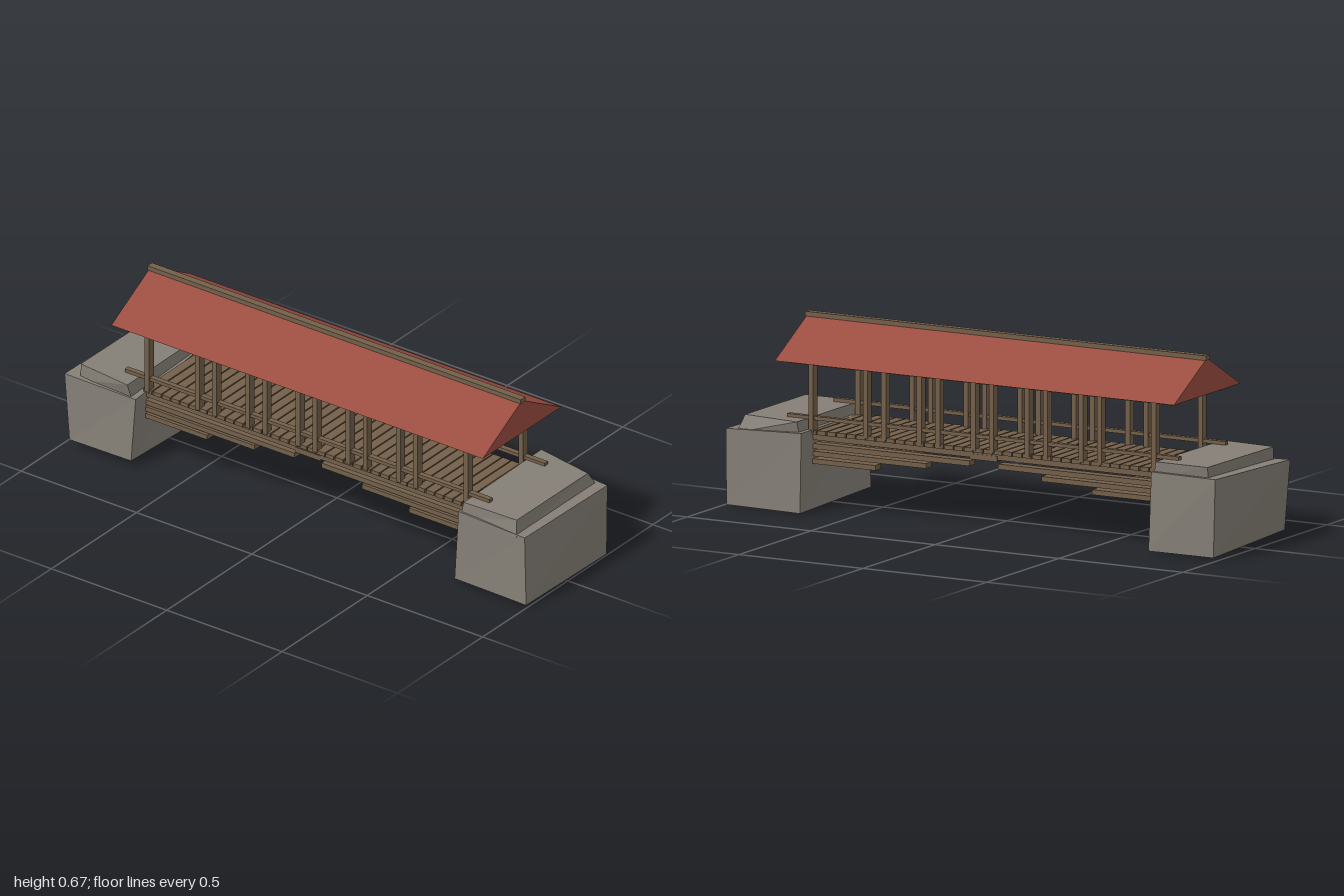
import * as THREE from 'three';

const material = (name, color) => {
  const m = new THREE.MeshStandardMaterial({ color });
  m.name = name;
  return m;
};

export function createModel() {
  const stone = material('grey stone', 0x857f76);
  const wood = material('brown timber', 0x735f4a);
  const red = material('red roof', 0x9b4c40);

  const model = new THREE.Group();
  model.name = 'coveredBridge';
  const bridge = new THREE.Group();
  bridge.name = 'timberSpan';
  bridge.position.z = 0.004;
  model.add(bridge);

  // Timber given by its x range, y range, centre z and depth
  const timber = (name, x0, x1, y0, y1, z, depth) => {
    const mesh = new THREE.Mesh(new THREE.BoxGeometry(x1 - x0, y1 - y0, depth), wood);
    mesh.position.set((x0 + x1) / 2, (y0 + y1) / 2, z);
    mesh.name = name;
    bridge.add(mesh);
  };

  // Rough stone block: a box whose corners are moved one by one.
  // Corner order: bottom then top; each back-left, back-right, front-left, front-right in x
  const block = (name, corners) => {
    const g = new THREE.BoxGeometry(1, 1, 1);
    const p = g.attributes.position;
    for (let i = 0; i < p.count; i++) {
      const k = (p.getY(i) > 0 ? 4 : 0) + (p.getZ(i) > 0 ? 2 : 0) + (p.getX(i) > 0 ? 1 : 0);
      p.setXYZ(i, ...corners[k]);
    }
    const flat = g.toNonIndexed();
    flat.computeVertexNormals();
    const mesh = new THREE.Mesh(flat, stone);
    mesh.name = name;
    model.add(mesh);
  };

  // Abutments and their caps
  block('rightAbutment', [
    [-0.975, 0.005, -0.245], [-0.71, 0.003, -0.24], [-0.975, 0.022, 0.25], [-0.708, 0.025, 0.25],
    [-0.985, 0.285, -0.25], [-0.72, 0.285, -0.237], [-1.0, 0.275, 0.245], [-0.697, 0.268, 0.238],
  ]);
  block('rightAbutmentCap', [
    [-0.945, 0.26, -0.225], [-0.72, 0.26, -0.22], [-0.945, 0.26, 0.225], [-0.72, 0.26, 0.23],
    [-0.945, 0.322, -0.235], [-0.73, 0.32, -0.225], [-0.948, 0.32, 0.22], [-0.73, 0.318, 0.243],
  ]);
  block('leftAbutment', [
    [0.69, 0.0, -0.25], [0.995, 0.0, -0.235], [0.687, 0.013, 0.24], [0.995, 0.007, 0.238],
    [0.685, 0.285, -0.25], [0.995, 0.272, -0.24], [0.7, 0.283, 0.235], [0.983, 0.268, 0.23],
  ]);
  block('leftAbutmentCap', [
    [0.705, 0.26, -0.225], [0.955, 0.26, -0.235], [0.705, 0.26, 0.23], [0.95, 0.26, 0.232],
    [0.71, 0.322, -0.238], [0.94, 0.32, -0.2], [0.715, 0.32, 0.225], [0.94, 0.32, 0.218],
  ]);

  // Deck planks
  const planks = 36;
  const pitch = 1.42 / planks;
  for (let i = 0; i < planks; i++) {
    const x = -0.71 + pitch * (i + 0.5);
    timber('deckPlank', x - pitch * 0.44, x + pitch * 0.44, 0.268, 0.283, 0, 0.345);
  }

  // Post positions: single end posts and five pairs
  const postX = [-0.691, 0.691];
  for (let i = -2; i <= 2; i++) postX.push(i * 0.2175 - 0.037, i * 0.2175 + 0.037);

  for (const side of [-1, 1]) {
    const z = side * 0.162;

    // Main girder with a short tie under its middle
    timber('mainGirder', -0.72, 0.72, 0.248, 0.267, side * 0.146, 0.04);
    timber('girderTie', -0.055, 0.055, 0.242, 0.262, side * 0.146, 0.044);

    // Stepped cantilever beams reaching from each abutment
    [[0.058, 0.216, 0.235], [0.233, 0.19, 0.208], [0.437, 0.163, 0.181]].forEach(([x, y0, y1]) => {
      timber('cantileverBeam', x, 0.72, y0, y1, side * 0.146, 0.04);
      timber('cantileverBeam', -0.72, -x, y0, y1, side * 0.146, 0.04);
    });

    // Posts, low rail and wall plate
    for (const x of postX) timber('post', x - 0.0095, x + 0.0095, 0.275, 0.52, z, 0.029);
    timber('lowRail', -0.79, 0.79, 0.32, 0.333, z, 0.02);
    timber('wallPlate', -0.78, 0.78, 0.515, 0.529, z, 0.037);
  }

  // Gabled roof and ridge beam
  const gable = new THREE.Shape([
    new THREE.Vector2(-0.231, 0.528),
    new THREE.Vector2(0.231, 0.528),
    new THREE.Vector2(0, 0.657),
  ]);
  const roofGeometry = new THREE.ExtrudeGeometry(gable, { depth: 1.61, bevelEnabled: false });
  roofGeometry.translate(0, 0, -0.805).rotateY(Math.PI / 2);
  const roof = new THREE.Mesh(roofGeometry, red);
  roof.name = 'roof';
  bridge.add(roof);
  timber('ridgeBeam', -0.809, 0.809, 0.65, 0.667, 0, 0.027);

  return model;
}
